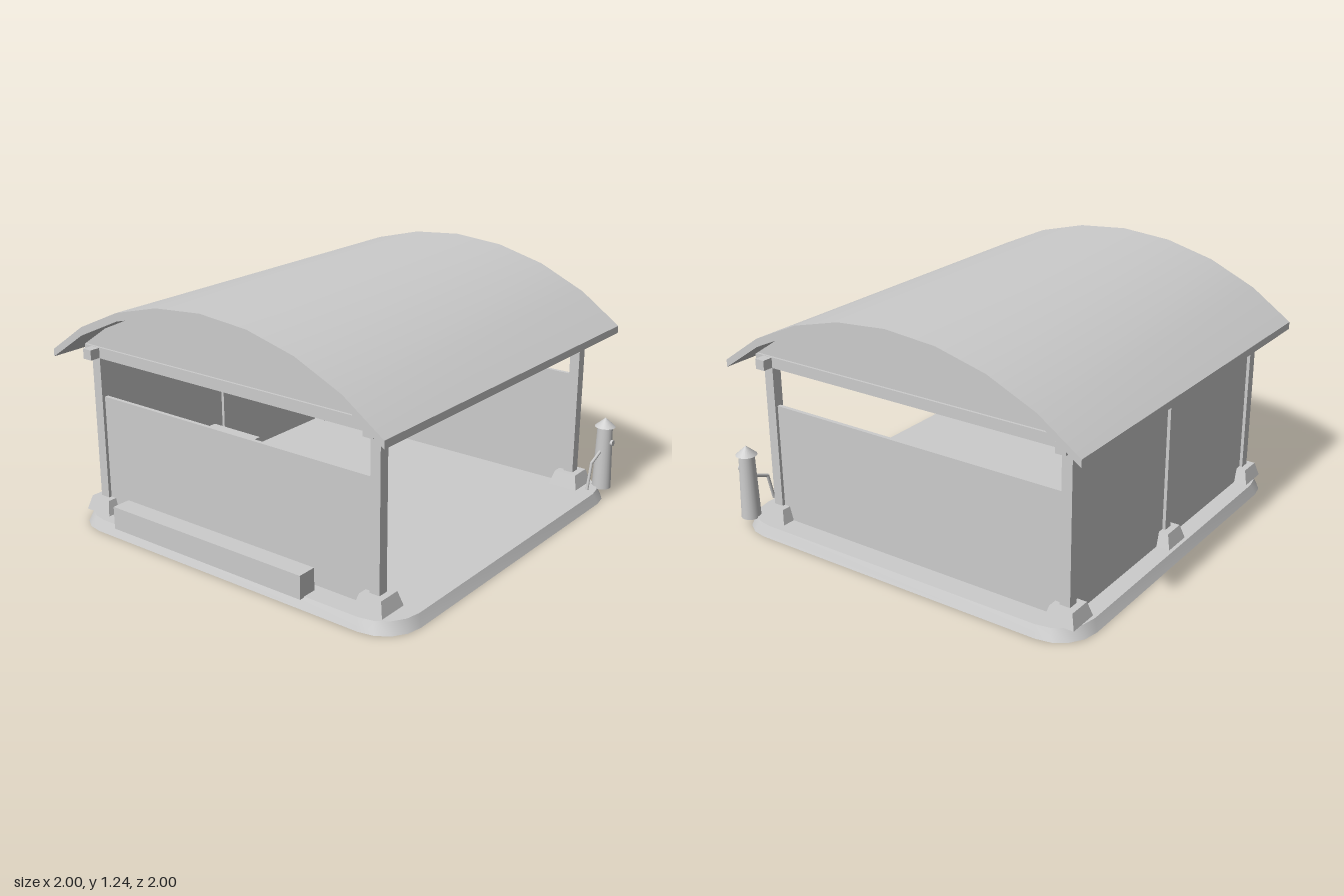
import * as THREE from 'three';
import { toCreasedNormals } from 'three/addons/utils/BufferGeometryUtils.js';

export function createModel() {
  const model = new THREE.Group();
  model.name = 'shelter';
  const grey = new THREE.MeshStandardMaterial({ color: 0xcccccc });
  grey.name = 'light grey';

  function add(name, geometry, x = 0, y = 0, z = 0, parent = model) {
    const mesh = new THREE.Mesh(geometry, grey);
    mesh.name = name;
    mesh.position.set(x, y, z);
    parent.add(mesh);
    return mesh;
  }
  // Box given by its minimum and maximum on each axis
  function box(name, x0, x1, y0, y1, z0, z1, parent = model) {
    return add(name, new THREE.BoxGeometry(x1 - x0, y1 - y0, z1 - z0),
      (x0 + x1) / 2, (y0 + y1) / 2, (z0 + z1) / 2, parent);
  }
  // Extrudes a z-y outline along x, centred on x = 0
  function extrudeAlongX(points, width) {
    const geometry = new THREE.ExtrudeGeometry(
      new THREE.Shape(points.map(([z, y]) => new THREE.Vector2(z, y))),
      { depth: width, bevelEnabled: false });
    geometry.rotateY(-Math.PI / 2);
    geometry.translate(width / 2, 0, 0);
    return toCreasedNormals(geometry, 0.6);
  }

  const floorY = 0.055, beamY = 0.85, beamTop = 0.9;
  const postX = 0.842, frontZ = 0.807, backZ = -0.855, half = 0.026;

  // Floor slab: rounded rectangle, slightly narrower at the top
  const w = 0.985, r = 0.19, c = w - r;
  const outline = [];
  for (let corner = 0; corner < 4; corner++) {
    const cx = corner === 0 || corner === 3 ? c : -c;
    const cy = corner < 2 ? c : -c;
    for (let i = 0; i <= 4; i++) {
      const a = (corner + i / 4) * Math.PI / 2;
      outline.push(new THREE.Vector2(cx + r * Math.cos(a), cy + r * Math.sin(a)));
    }
  }
  let slab = new THREE.ExtrudeGeometry(new THREE.Shape(outline), { depth: floorY, bevelEnabled: false });
  slab.rotateX(-Math.PI / 2);
  const p = slab.attributes.position;
  for (let i = 0; i < p.count; i++) {
    if (p.getY(i) > 0.01) p.setXYZ(i, p.getX(i) * 0.978, p.getY(i), p.getZ(i) * 0.978);
  }
  slab = toCreasedNormals(slab, 0.6);
  add('floorSlab', slab, 0, 0, 0.012);

  // Posts on tapered footings
  const footing = new THREE.CylinderGeometry(0.058 * Math.SQRT2, 0.078 * Math.SQRT2, 0.07, 4, 1).toNonIndexed();
  footing.rotateY(Math.PI / 4);
  footing.computeVertexNormals();
  const posts = [[-postX, frontZ], [postX, frontZ], [-postX, backZ], [0, backZ], [postX, backZ]];
  for (const [x, z] of posts) {
    add('postFooting', footing, x, floorY + 0.035, z);
    box('post', x - half, x + half, floorY, beamY, z - half, z + half);
  }

  // Crossing roof beams
  for (const z of [frontZ, backZ]) box('crossBeam', -0.922, 0.922, beamY, beamTop, z - half, z + half);
  for (const x of [-postX, postX]) {
    box('sideBeam', x - half, x + half, beamY - 0.002, beamTop + 0.002, -0.93, 0.885);
    box('sidePanel', x - 0.01, x + 0.01, floorY, 0.65, backZ, frontZ);
  }
  box('backWall', -postX, postX, floorY, beamY, backZ - 0.01, backZ + 0.01);

  // Arched roof sheet with flat facets along the arc
  const roofMid = -0.027;
  const outer = [[0.973, 0.895], [0.764, 1.04], [0.52, 1.15], [0.266, 1.215]];
  const inner = [[0.973, 0.858], [0.764, 1.0], [0.52, 1.11], [0.266, 1.175]];
  const arc = (side, crown) => [
    ...side.map(([z, y]) => [roofMid + z, y]),
    [roofMid, crown],
    ...side.slice().reverse().map(([z, y]) => [roofMid - z, y]),
  ];
  add('roof', extrudeAlongX([...arc(outer, 1.237), ...arc(inner, 1.197).reverse()], 1.995), -0.002);

  // Gable panels closing the arch above the side beams
  const gableSide = [[0.912, beamTop], ...inner.slice(1)];
  const gable = extrudeAlongX(arc(gableSide, 1.197), 0.03);
  for (const x of [-postX, postX]) add('gable', gable, x);

  // Table at the back with a box on it
  const table = new THREE.Group();
  table.name = 'table';
  model.add(table);
  box('tableTop', -0.77, -0.11, 0.265, 0.29, -0.82, -0.5, table);
  for (const x of [-0.755, -0.15]) {
    for (const z of [-0.805, -0.545]) box('tableLeg', x, x + 0.03, floorY, 0.265, z, z + 0.03, table);
  }
  box('tableBox', -0.69, -0.505, 0.29, 0.395, -0.74, -0.58, table);

  // Long low trough beside the side panel
  box('trough', -0.99, -0.893, floorY - 0.005, 0.165, -0.66, 0.5);

  // Water pump at the front corner
  const pump = new THREE.Group();
  pump.name = 'waterPump';
  pump.position.set(0.92, 0, 0.95);
  model.add(pump);
  add('pumpBody', new THREE.CylinderGeometry(0.039, 0.049, 0.335, 20), 0, 0.2125, 0, pump);
  add('pumpCap', new THREE.ConeGeometry(0.053, 0.047, 20), 0, 0.4015, 0, pump);
  const spout = new THREE.CylinderGeometry(0.016, 0.016, 0.03, 12);
  spout.rotateX(Math.PI / 2);
  add('pumpSpout', spout, 0, 0.296, 0.036, pump);

  // Bent pump handle
  const handle = [[-0.02, 0.258], [-0.128, 0.215], [-0.16, 0.083]];
  for (let i = 0; i < 2; i++) {
    const [x0, y0] = handle[i], [x1, y1] = handle[i + 1];
    const rod = add('pumpHandle', new THREE.CylinderGeometry(0.008, 0.008, Math.hypot(x1 - x0, y1 - y0) + 0.008, 8),
      (x0 + x1) / 2, (y0 + y1) / 2, 0, pump);
    rod.rotation.z = Math.atan2(y1 - y0, x1 - x0) - Math.PI / 2;
  }

  return model;
}
